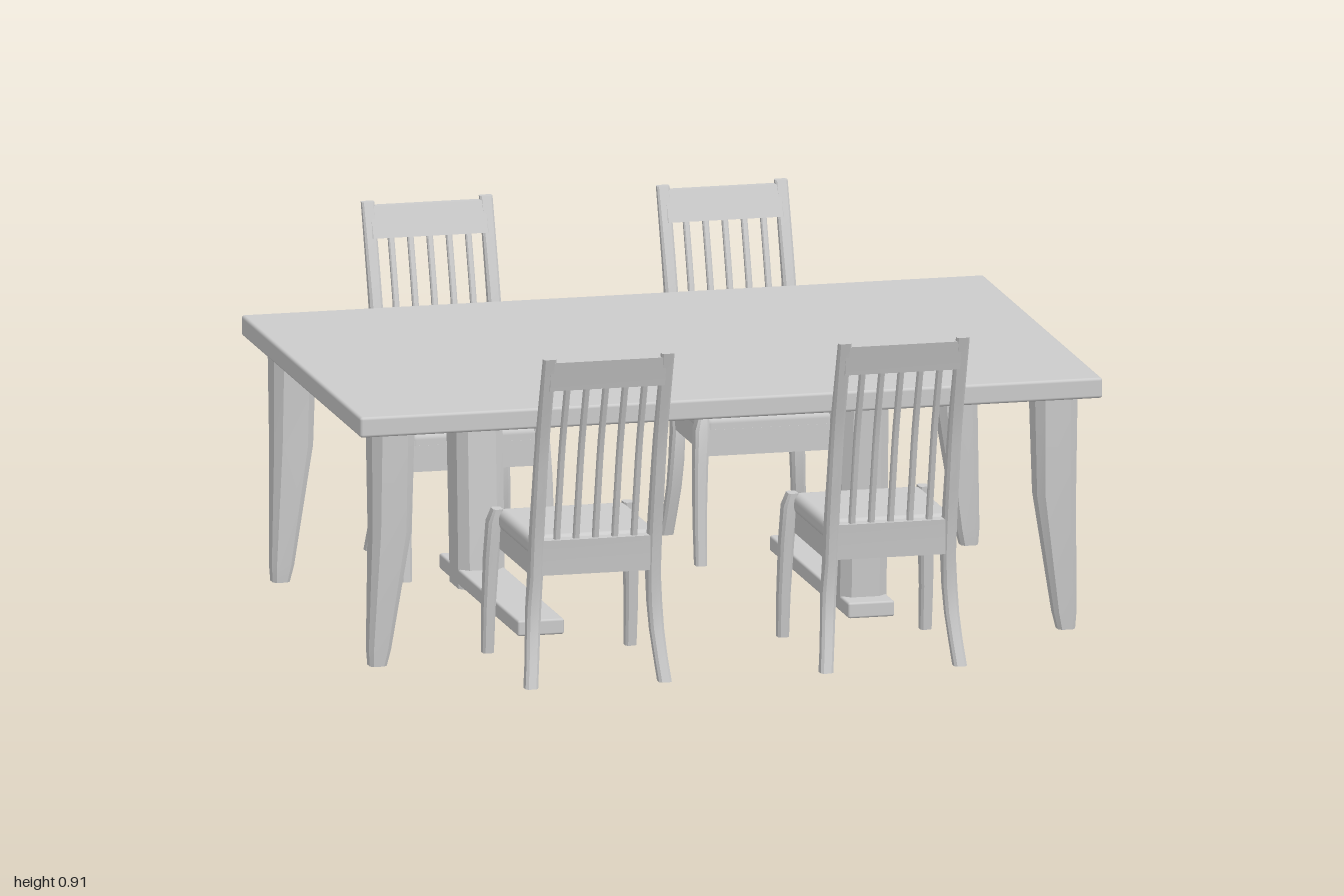
import * as THREE from 'three';
import { toCreasedNormals } from 'three/addons/utils/BufferGeometryUtils.js';
import { RoundedBoxGeometry } from 'three/addons/geometries/RoundedBoxGeometry.js';

const material = new THREE.MeshStandardMaterial({ color: 0xcccccc });

function add(parent, name, geometry) {
  const mesh = new THREE.Mesh(geometry, material);
  mesh.name = name;
  parent.add(mesh);
  return mesh;
}

// Lofts chamfered rectangles upward; each section is [x, y, z, width, depth]
function loft(sections) {
  const pos = [], index = [], n = 8;
  for (const [x, y, z, w, d] of sections) {
    const c = 0.2 * Math.min(w, d), a = w / 2, b = d / 2;
    const ring = [[a, b - c], [a - c, b], [c - a, b], [-a, b - c],
      [-a, c - b], [c - a, -b], [a - c, -b], [a, c - b]];
    for (const [u, v] of ring) pos.push(x + u, y, z + v);
  }
  const last = (sections.length - 1) * n;
  for (let s = 0; s < last; s += n) {
    for (let i = 0; i < n; i++) {
      const j = (i + 1) % n;
      index.push(s + i, s + n + i, s + j, s + j, s + n + i, s + n + j);
    }
  }
  for (let i = 1; i < n - 1; i++) {
    index.push(0, i, i + 1, last, last + i + 1, last + i);
  }
  const g = new THREE.BufferGeometry();
  g.setAttribute('position', new THREE.Float32BufferAttribute(pos, 3));
  g.setIndex(index);
  return toCreasedNormals(g, 0.7);
}

// Centre line of the reclined chair back: z for a given height
const backLine = new THREE.CatmullRomCurve3([
  [0.82, 0.28], [0.838, 0.4], [0.865, 0.52], [0.895, 0.65], [0.937, 0.78], [0.982, 0.91],
].map(([z, y]) => new THREE.Vector3(0, y, z)));
const backZ = (y) => {
  let lo = 0, hi = 1;
  for (let i = 0; i < 24; i++) {
    const mid = (lo + hi) / 2;
    if (backLine.getPoint(mid).y < y) lo = mid; else hi = mid;
  }
  return backLine.getPoint(lo).z;
};

// Part of the chair back between two heights
function backPart(x, y0, y1, width, depth0, depth1, steps = 8) {
  const sections = [];
  for (let i = 0; i <= steps; i++) {
    const t = i / steps, y = y0 + (y1 - y0) * t;
    sections.push([x, y, backZ(y), width, depth0 + (depth1 - depth0) * t]);
  }
  return sections;
}

// Chair with its back towards +z
function makeChair() {
  const chair = new THREE.Group();
  chair.name = 'chair';

  // Slightly crowned seat cushion over an apron frame
  const seat = new RoundedBoxGeometry(0.35, 0.055, 0.36, 3, 0.02);
  add(chair, 'seat', seat).position.set(0, 0.375, 0.645);
  for (const s of [-1, 1]) {
    add(chair, 'sideApron', new THREE.BoxGeometry(0.025, 0.07, 0.35)).position.set(s * 0.158, 0.332, 0.645);

    // Rear leg flowing into the back post
    add(chair, 'rearLegAndPost', loft([
      [s * 0.18, 0.005, 0.862, 0.034, 0.038],
      [s * 0.173, 0.07, 0.845, 0.034, 0.036],
      [s * 0.167, 0.14, 0.828, 0.036, 0.036],
      [s * 0.163, 0.21, 0.82, 0.037, 0.04],
      ...backPart(s * 0.159, 0.29, 0.91, 0.034, 0.05, 0.022, 10),
    ]));

    // Splayed front leg with a shoulder at seat height
    add(chair, 'frontLeg', loft([
      [s * 0.192, 0.012, 0.442, 0.03, 0.034],
      [s * 0.192, 0.13, 0.452, 0.032, 0.04],
      [s * 0.188, 0.27, 0.464, 0.036, 0.046],
      [s * 0.182, 0.37, 0.475, 0.038, 0.05],
      [s * 0.176, 0.405, 0.482, 0.026, 0.04],
    ]));
  }
  add(chair, 'frontApron', new THREE.BoxGeometry(0.34, 0.07, 0.025)).position.set(0, 0.332, 0.477);

  // Back rails and slats
  add(chair, 'lowerRail', loft(backPart(0, 0.3, 0.395, 0.32, 0.044, 0.036, 3)));
  add(chair, 'topRail', loft(backPart(0, 0.82, 0.9, 0.32, 0.03, 0.02, 4)));
  for (let i = -2; i <= 2; i++) {
    add(chair, 'backSlat', loft(backPart(i * 0.052, 0.38, 0.83, 0.016, 0.018, 0.016)));
  }
  return chair;
}

function makeTable() {
  const table = new THREE.Group();
  table.name = 'table';
  const top = new RoundedBoxGeometry(2, 0.055, 1.285, 2, 0.008);
  add(table, 'tableTop', top).position.set(0, 0.667, -0.037);

  // Corner legs, straight above and tapering towards the outer edge
  for (const sx of [-1, 1]) {
    for (const [sz, zTop, zFoot] of [[1, 0.498, 0.493], [-1, -0.56, -0.553]]) {
      const zMid = zTop + sz * 0.002;
      add(table, 'tableLeg', loft([
        [sx * 0.927, 0.005, zFoot, 0.046, 0.046],
        [sx * 0.923, 0.05, zFoot, 0.06, 0.055],
        [sx * 0.895, 0.37, zMid, 0.105, 0.092],
        [sx * 0.893, 0.645, zTop, 0.115, 0.115],
      ]));
    }
  }

  // Two floor beams, each carrying one leaning support at opposite ends
  for (const [x, z0, z1, width, yFoot] of [[0.425, 0.275, 0.295, 0.125, 0.06], [-0.465, -0.275, -0.32, 0.125, 0.032]]) {
    add(table, 'floorBeam', new RoundedBoxGeometry(0.125, 0.042, 0.85, 2, 0.006)).position.set(x, 0.063, -0.012);
    add(table, 'tableSupport', loft([
      [x, yFoot, z0, width, 0.145],
      [x, 0.35, (z0 + z1) / 2, width, 0.155],
      [x, 0.645, z1, width, 0.16],
    ]));
  }
  return table;
}

export function createModel() {
  const model = new THREE.Group();
  model.name = 'diningSet';
  model.add(makeTable());

  // Two chairs on each long side, facing the table
  for (const x of [-0.425, 0.37]) {
    for (const turn of [0, Math.PI]) {
      const chair = makeChair();
      chair.position.x = x;
      chair.rotation.y = turn;
      model.add(chair);
    }
  }
  return model;
}
